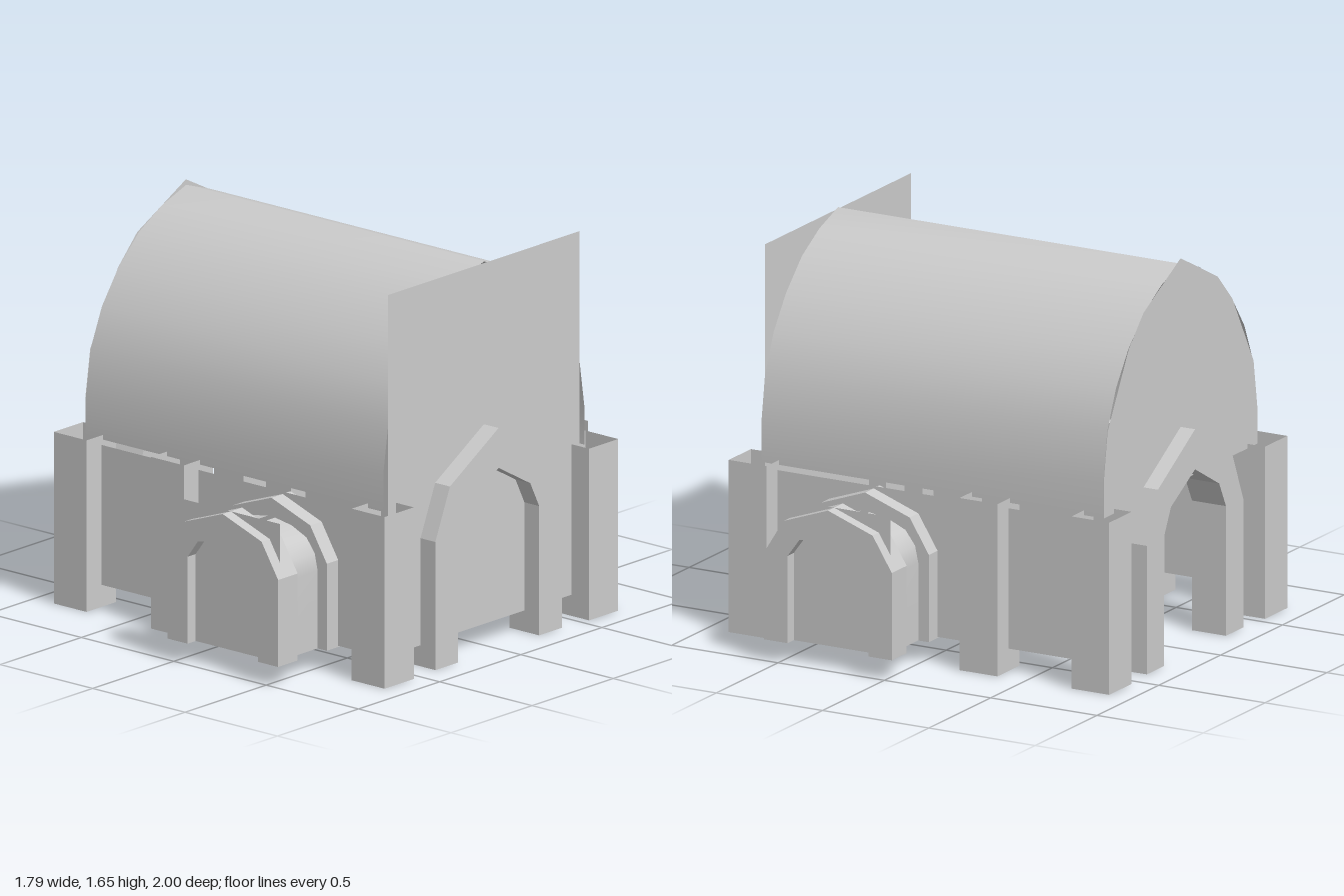
import * as THREE from 'three';

const material = new THREE.MeshStandardMaterial({ color: 0xcccccc, side: THREE.DoubleSide });

function add(parent, name, geometry, x = 0, y = 0, z = 0) {
  const mesh = new THREE.Mesh(geometry, material);
  mesh.name = name;
  mesh.position.set(x, y, z);
  parent.add(mesh);
  return mesh;
}

// Removes level faces, leaving hollow tops and bottoms
function openEnds(source) {
  const g = source.index ? source.toNonIndexed() : source;
  const p = g.attributes.position;
  const kept = [];
  for (let i = 0; i < p.count; i += 3) {
    const level = Math.abs(p.getY(i) - p.getY(i + 1)) + Math.abs(p.getY(i) - p.getY(i + 2)) < 1e-5;
    if (!level) for (let k = i; k < i + 3; k++) kept.push(p.getX(k), p.getY(k), p.getZ(k));
  }
  const out = new THREE.BufferGeometry();
  out.setAttribute('position', new THREE.Float32BufferAttribute(kept, 3));
  out.computeVertexNormals();
  return out;
}

// Half profile [offset, y] from foot to apex, mirrored into a full outline
function mirrored(half) {
  const other = half.slice().reverse().filter(([u]) => u !== 0).map(([u, y]) => [-u, y]);
  return half.concat(other).map(([u, y]) => new THREE.Vector2(u, y));
}

// Pointed arch frame facing z, centred on z = 0
function archGeometry(outer, inner, depth) {
  const outline = mirrored(outer).concat(mirrored(inner).reverse());
  const g = new THREE.ExtrudeGeometry(new THREE.Shape(outline), { depth, bevelEnabled: false });
  return openEnds(g.translate(0, 0, -depth / 2));
}

// Smooth sheet: a profile of [offset, y] swept along z from 0 to length
function sweptSheet(points, length) {
  const g = new THREE.PlaneGeometry(1, 1, 1, points.length - 1);
  const p = g.attributes.position;
  for (let i = 0; i < p.count; i++) {
    const q = points[Math.floor(i / 2)];
    p.setXYZ(i, q.x, q.y, (i % 2) * length);
  }
  g.computeVertexNormals();
  return g;
}

// Side porch, built towards +z
function createPorch() {
  const porch = new THREE.Group();
  const frame = archGeometry(
    [[0.3, 0.09], [0.3, 0.46], [0.21, 0.605], [0, 0.68]],
    [[0.19, 0.09], [0.19, 0.46], [0.135, 0.535], [0, 0.565]], 0.12);
  add(porch, 'porchInnerArch', frame, 0, 0, 0.64);
  add(porch, 'porchOuterArch', frame, 0, 0, 0.94);
  add(porch, 'porchPanel', new THREE.PlaneGeometry(0.53, 0.59), 0, 0.385, 0.95);
  // The two tunnel halves leave a narrow slot along the crown
  for (const s of [1, -1]) {
    const half = [[0.25, 0.09], [0.25, 0.42], [0.235, 0.49], [0.19, 0.55], [0.11, 0.585], [0.02, 0.6]]
      .map(([u, y]) => new THREE.Vector2(u * s, y));
    if (s < 0) half.reverse();
    add(porch, 'porchTunnelHalf', sweptSheet(half, 0.31), 0, 0, 0.64);
  }
  return porch;
}

export function createModel() {
  const model = new THREE.Group();
  model.name = 'vaultedHut';

  // Barrel roof
  const halfRoof = [[0.62, 0.71], [0.62, 0.87], [0.59, 1.07], [0.52, 1.235], [0.42, 1.375], [0.29, 1.5], [0.15, 1.58], [0, 1.632]];
  const roof = add(model, 'roof', sweptSheet(mirrored(halfRoof), 1.61), -0.81);
  roof.rotation.y = Math.PI / 2;

  // Pointed gable closing the vault at one end
  const halfGable = [[0.62, 0.71], [0.62, 0.87], [0.59, 1.07], [0.42, 1.375], [0.3, 1.5], [0, 1.655]];
  const gable = add(model, 'gable', new THREE.ShapeGeometry(new THREE.Shape(mirrored(halfGable))), -0.812);
  gable.rotation.y = -Math.PI / 2;

  // Flat full-height wall at the other end
  const endWall = add(model, 'endWall', new THREE.PlaneGeometry(1.18, 1.535), 0.8, 0.8575);
  endWall.rotation.y = Math.PI / 2;

  // Door arches at both ends
  const doorArch = archGeometry(
    [[0.39, 0], [0.39, 0.545], [0.3, 0.76], [0, 0.94]],
    [[0.25, 0], [0.25, 0.55], [0.195, 0.66], [0, 0.77]], 0.16);
  for (const s of [1, -1]) {
    add(model, 'doorArch', doorArch, s * 0.8).rotation.y = Math.PI / 2;
  }

  // Side walls, hollow pillars and porches, the same on front and back
  const pillar = openEnds(new THREE.BoxGeometry(0.178, 0.73, 0.18));
  for (const s of [1, -1]) {
    const wall = add(model, 'sideWall', new THREE.PlaneGeometry(1.6, 0.595), 0, 0.3925, s * 0.63);
    if (s < 0) wall.rotation.y = Math.PI;
    for (const x of [-0.806, -0.28, 0.806]) add(model, 'pillar', pillar, x, 0.365, s * 0.63);
    const porch = createPorch();
    porch.name = s > 0 ? 'frontPorch' : 'backPorch';
    porch.position.x = 0.265;
    if (s < 0) porch.rotation.y = Math.PI;
    model.add(porch);
  }
  return model;
}
